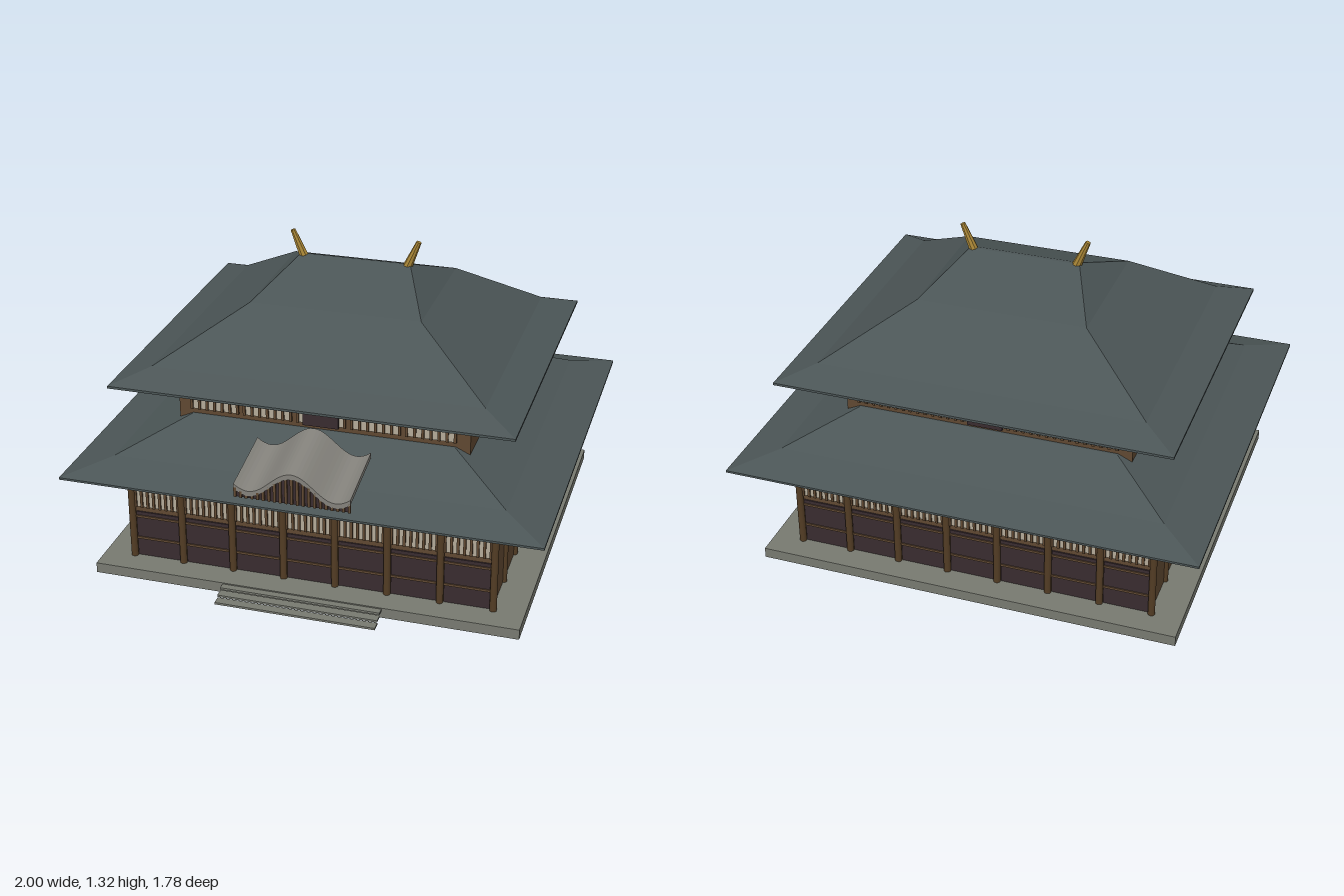
import * as THREE from 'three';

const mat = (name, color, extra = {}) => {
  const m = new THREE.MeshStandardMaterial({ color, ...extra });
  m.name = name;
  return m;
};

export function createModel() {
  const roofMat = mat('slate roof', 0x4b5556, { flatShading: true });
  const timber = mat('brown timber', 0x5f4831);
  const post = mat('dark post timber', 0x523c24);
  const panel = mat('plum panel', 0x382b2f);
  const paper = mat('pale screen', 0xb3aa98);
  const stone = mat('grey stone', 0x777970);
  const tile = mat('pale grey tile', 0x83817b);
  const gold = mat('gold', 0xa88536, { flatShading: true });

  const model = new THREE.Group();
  model.name = 'temple';
  const hall = new THREE.Group();
  hall.name = 'hall';
  hall.position.z = -0.005;
  model.add(hall);

  const add = (parent, name, geo, material, x = 0, y = 0, z = 0) => {
    const m = new THREE.Mesh(geo, material);
    m.name = name;
    m.position.set(x, y, z);
    parent.add(m);
    return m;
  };
  // box given by its centre in x and z and its bottom and top heights
  const box = (parent, name, material, w, y0, y1, d, x = 0, z = 0) =>
    add(parent, name, new THREE.BoxGeometry(w, y1 - y0, d), material, x, (y0 + y1) / 2, z);

  // closed hipped roof lofted through rectangles [halfX, halfZ, y]
  const hippedRoof = (name, rings) => {
    const v = [];
    const corner = ([x, z, y], i) => [[x, y, z], [x, y, -z], [-x, y, -z], [-x, y, z]][i % 4];
    const quad = (a, b, c, d) => v.push(...a, ...b, ...c, ...a, ...c, ...d);
    for (let r = 0; r + 1 < rings.length; r++)
      for (let i = 0; i < 4; i++)
        quad(corner(rings[r], i), corner(rings[r], i + 1), corner(rings[r + 1], i + 1), corner(rings[r + 1], i));
    const lo = rings[0], hi = rings[rings.length - 1];
    quad(corner(lo, 3), corner(lo, 2), corner(lo, 1), corner(lo, 0));
    quad(corner(hi, 0), corner(hi, 1), corner(hi, 2), corner(hi, 3));
    const g = new THREE.BufferGeometry();
    g.setAttribute('position', new THREE.Float32BufferAttribute(v, 3));
    g.computeVertexNormals();
    return add(hall, name, g, roofMat);
  };

  // stone base and thin front steps
  box(hall, 'base', stone, 1.81, 0, 0.045, 1.59);
  for (let i = 0; i < 3; i++)
    box(model, 'step', stone, 0.68, 0.003 + i * 0.014, 0.012 + i * 0.014, 0.04, 0, 0.87 - i * 0.035);

  // storey walls
  box(hall, 'lowerWalls', timber, 1.54, 0.045, 0.45, 1.35);
  box(hall, 'upperWalls', timber, 1.24, 0.6, 0.832, 0.975);

  // pale screen crossed by upright bars
  const lattice = (parent, x, z, w, y0, y1, strips) => {
    box(parent, 'screen', paper, w, y0, y1, 0.008, x, z);
    for (let i = 0; i <= strips; i++)
      box(parent, 'screenBar', timber, 0.011, y0, y1, 0.01, x - w / 2 + (i * w) / strips, z + 0.006);
  };

  // the front and back share the same facade
  const pitch = 1.55 / 7;
  for (const turn of [0, Math.PI]) {
    const f = new THREE.Group();
    f.name = turn ? 'backFacade' : 'frontFacade';
    f.rotation.y = turn;
    hall.add(f);
    for (let i = 0; i < 8; i++) {
      const x = -0.775 + i * pitch;
      add(f, 'post', new THREE.CylinderGeometry(0.015, 0.015, 0.435, 12), post, x, 0.2625, 0.684);
      box(f, 'postCap', post, 0.054, 0.456, 0.478, 0.05, x, 0.684);
      box(f, 'postNeck', post, 0.038, 0.445, 0.457, 0.036, x, 0.684);
    }
    for (let i = 0; i < 7; i++) {
      const x = -0.775 + (i + 0.5) * pitch;
      box(f, 'lowerPanel', panel, 0.19, 0.047, 0.256, 0.008, x, 0.677);
      for (const y of [0.235, 0.132]) box(f, 'panelRail', timber, 0.19, y - 0.005, y + 0.005, 0.01, x, 0.681);
      lattice(f, x, 0.676, 0.188, 0.28, 0.385, 7);
    }
    // upper screens and central door
    for (let i = -2; i <= 2; i++) lattice(f, i * 0.23, 0.495, 0.2, 0.68, 0.818, 6);
    box(f, 'upperDoor', panel, 0.15, 0.675, 0.82, 0.022, 0, 0.5);
  }

  // side wall posts
  for (const s of [-1, 1])
    for (let i = -2; i <= 2; i++)
      add(hall, 'sidePost', new THREE.CylinderGeometry(0.015, 0.015, 0.435, 12), post, s * 0.77, 0.2625, i * 0.2275);

  // two roofs
  hippedRoof('lowerRoof', [[1, 0.885, 0.477], [1, 0.885, 0.486], [0.82, 0.727, 0.535], [0.56, 0.496, 0.655]]);
  hippedRoof('upperRoof', [[0.84, 0.711, 0.83], [0.84, 0.711, 0.84], [0.695, 0.585, 0.892],
    [0.364, 0.306, 1.1], [0.24, 0.008, 1.217]]);

  // gold ridge ornaments leaning outwards
  for (const s of [-1, 1]) {
    const horn = add(hall, 'ridgeHorn', new THREE.CylinderGeometry(0.011, 0.02, 0.12, 8), gold, s * 0.25, 1.265, 0);
    horn.rotation.z = -s * 0.4;
  }

  // curved entrance gable, sloping down towards the front
  const curve = (x) => 0.605 + 0.05 * Math.cos((Math.PI * x) / 0.18);
  const half = 0.24, n = 32, depth = 0.295;
  const edge = (w, drop) => Array.from({ length: n + 1 }, (_, i) => {
    const x = -w + (2 * w * i) / n;
    return new THREE.Vector2(x, curve(x) - drop);
  });
  const sheet = new THREE.Shape([...edge(half, 0), ...edge(half, 0.022).reverse()]);
  const gable = new THREE.ExtrudeGeometry(sheet, { depth, bevelEnabled: false });
  gable.applyMatrix4(new THREE.Matrix4().set(1, 0, 0, 0, 0, 1, -0.2, 0.2 * depth, 0, 0, 1, 0, 0, 0, 0, 1));
  add(model, 'entranceGable', gable, tile, 0, 0, 0.89 - depth);

  // slatted board below the gable
  const board = new THREE.Shape([new THREE.Vector2(-0.235, 0.522), ...edge(0.235, 0.012),
    new THREE.Vector2(0.235, 0.522)]);
  add(model, 'gableBoard', new THREE.ExtrudeGeometry(board, { depth: 0.008, bevelEnabled: false }), panel, 0, 0, 0.875);
  for (let i = 0; i <= 20; i++) {
    const x = -0.235 + i * 0.0235;
    box(model, 'gableSlat', timber, 0.011, 0.522, curve(x) - 0.012, 0.008, x, 0.886);
  }
  return model;
}
